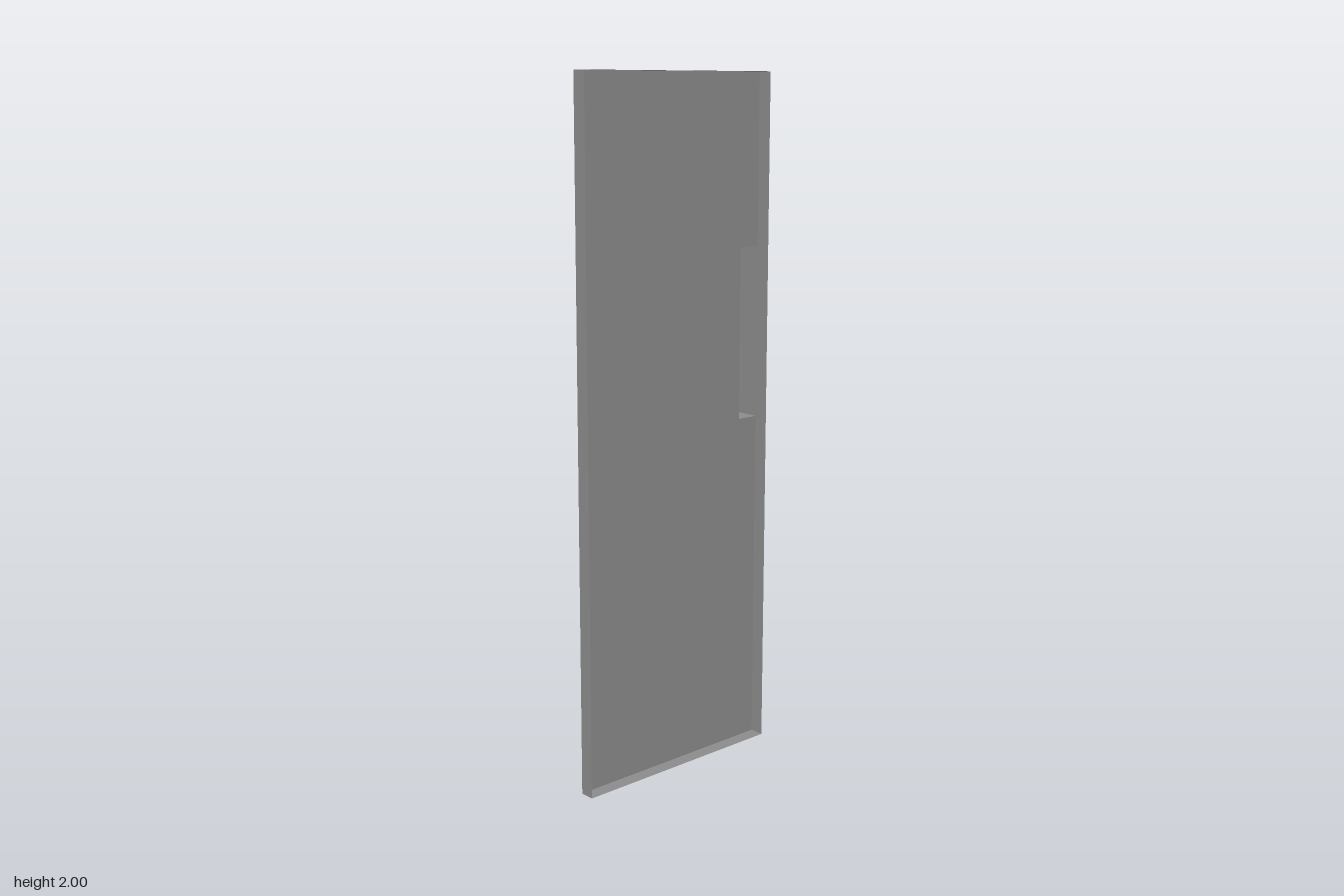
import * as THREE from 'three';

const X = 0.338, HEIGHT = 2;
const Z_FRONT = 0.065, Z_PANEL = 0.022, Z_GRIP = -0.065;
const GRIP = { x0: 0.269, x1: X, y0: 1.0, y1: 1.505 };

const grey = new THREE.MeshStandardMaterial({ color: 0x8c8c8c, side: THREE.DoubleSide });
grey.name = 'grey';

// Flat sheet of size w x h, facing the direction given by its rotation
function sheet(name, w, h, position, rx = 0, ry = 0) {
  const mesh = new THREE.Mesh(new THREE.PlaneGeometry(w, h), grey);
  mesh.name = name;
  mesh.position.set(...position);
  mesh.rotation.set(rx, ry, 0);
  return mesh;
}

// Four thin walls around a rectangle, open at the front and back
function rim(name, { x0, x1, y0, y1 }, zFront, zBack) {
  const group = new THREE.Group();
  group.name = name;
  const w = x1 - x0, h = y1 - y0, d = zFront - zBack;
  const cx = (x0 + x1) / 2, cy = (y0 + y1) / 2, cz = (zFront + zBack) / 2;
  const q = Math.PI / 2;
  group.add(
    sheet(name + 'Left', d, h, [x1, cy, cz], 0, q),
    sheet(name + 'Right', d, h, [x0, cy, cz], 0, -q),
    sheet(name + 'Top', w, d, [cx, y1, cz], -q),
    sheet(name + 'Bottom', w, d, [cx, y0, cz], q),
  );
  return group;
}

export function createModel() {
  const model = new THREE.Group();
  model.name = 'doorPanel';

  // Back sheet of the door, notched where the hollow grip opens
  const outline = new THREE.Shape([
    [-X, 0], [X, 0], [X, GRIP.y0], [GRIP.x0, GRIP.y0],
    [GRIP.x0, GRIP.y1], [X, GRIP.y1], [X, HEIGHT], [-X, HEIGHT],
  ].map(([x, y]) => new THREE.Vector2(x, y)));
  const back = new THREE.Mesh(new THREE.ShapeGeometry(outline).rotateY(Math.PI), grey);
  back.geometry.scale(-1, 1, 1); // restores x and turns the sheet to face the back
  back.geometry.computeVertexNormals();
  back.name = 'doorBack';
  back.position.z = Z_PANEL;
  model.add(back);

  // Shallow walls around the open front
  model.add(rim('doorRim', { x0: -X, x1: X, y0: 0, y1: HEIGHT }, Z_FRONT, Z_PANEL));

  // Hollow grip standing out behind the door
  const grip = rim('grip', GRIP, Z_PANEL, Z_GRIP);
  grip.add(sheet('gripBack', GRIP.x1 - GRIP.x0, GRIP.y1 - GRIP.y0,
    [(GRIP.x0 + GRIP.x1) / 2, (GRIP.y0 + GRIP.y1) / 2, Z_GRIP], 0, Math.PI));
  model.add(grip);

  return model;
}
